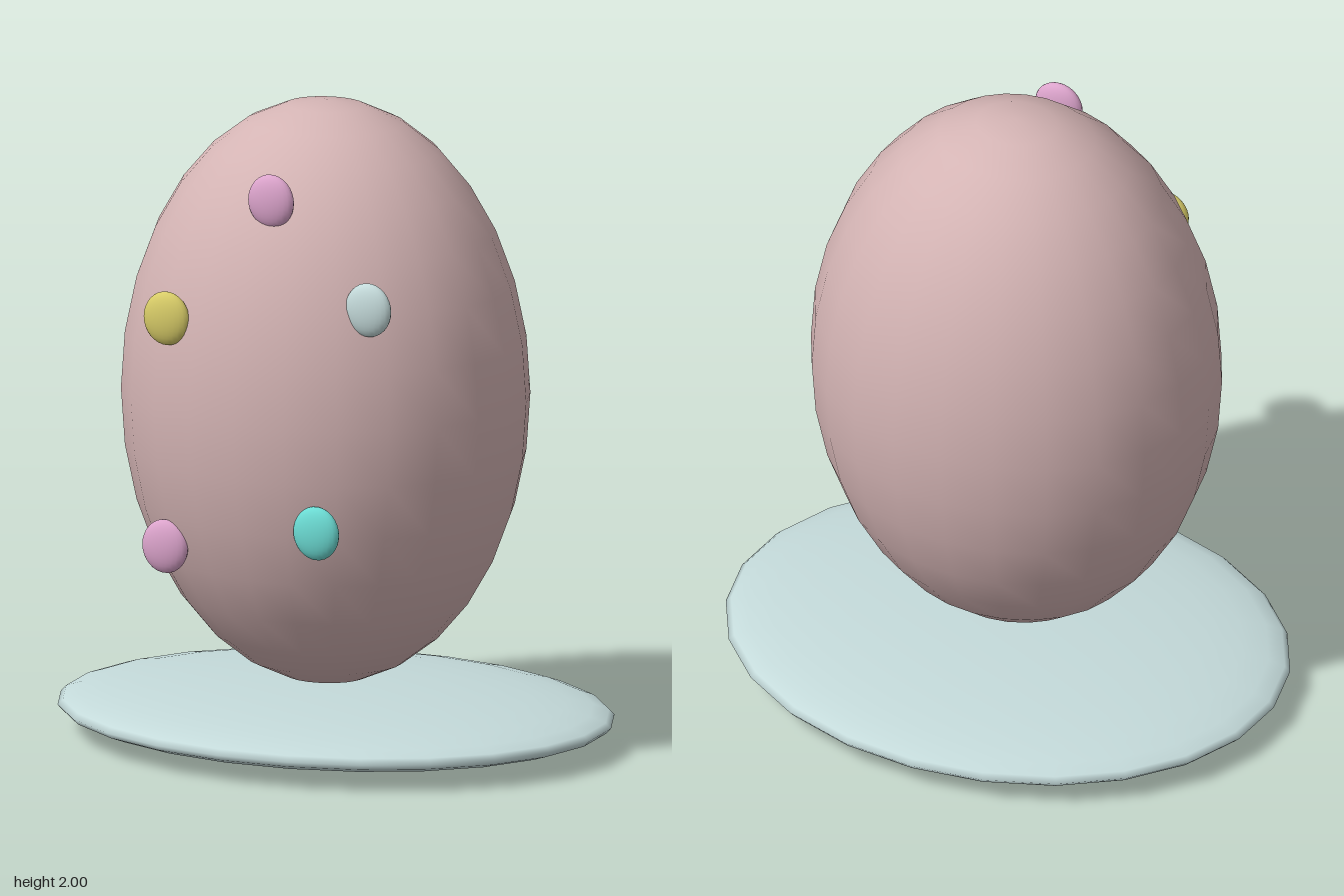
import * as THREE from 'three';

const paint = (name, color) => {
  const m = new THREE.MeshStandardMaterial({ color });
  m.name = name;
  return m;
};

export function createModel() {
  const model = new THREE.Group();
  model.name = 'spottedEgg';

  const rose = paint('dusty rose', 0xd4b4b4);
  const mist = paint('pale mist', 0xc4dada);
  const pink = paint('orchid pink', 0xdca4cc);
  const yellow = paint('mustard yellow', 0xd8cc68);
  const teal = paint('bright teal', 0x6cdcd4);

  // Every part is a stretched sphere
  const sphere = new THREE.SphereGeometry(1, 24, 16);
  const ellipsoid = (name, material, position, radii) => {
    const mesh = new THREE.Mesh(sphere, material);
    mesh.name = name;
    mesh.position.set(...position);
    mesh.scale.set(...radii);
    model.add(mesh);
  };

  // Flat oval base and the egg hovering just above it
  ellipsoid('base', mist, [0, 0.087, 0], [0.885, 0.087, 0.725]);
  ellipsoid('egg', rose, [0, 1.095, 0.063], [0.64, 0.905, 0.565]);

  // Button-like spots on the front
  const spots = [
    ['topSpot', pink, 0.04, 1.765, 0.465],
    ['upperLeftSpot', mist, 0.385, 1.467, 0.473],
    ['upperRightSpot', yellow, -0.27, 1.385, 0.562],
    ['lowerLeftSpot', teal, 0.255, 0.775, 0.564],
    ['lowerRightSpot', pink, -0.302, 0.663, 0.515],
  ];
  for (const [name, material, x, y, z] of spots) {
    ellipsoid(name, material, [x, y, z], [0.078, 0.083, 0.032]);
  }
  return model;
}
